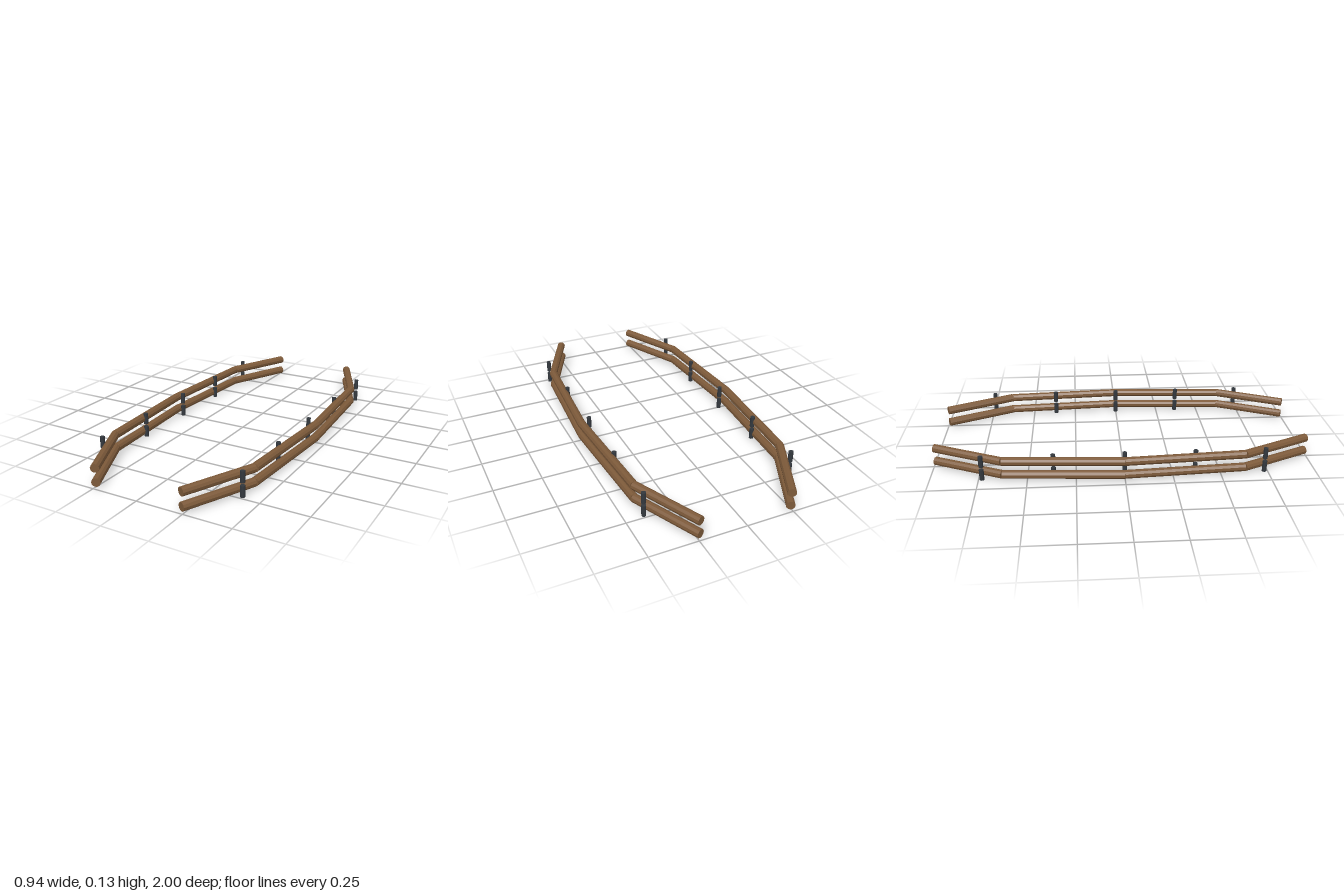
import * as THREE from 'three';

const wood = new THREE.MeshStandardMaterial({ color: 0x7d5a3a, flatShading: true });
wood.name = 'brown wood';
const iron = new THREE.MeshStandardMaterial({ color: 0x33383e, flatShading: true });
iron.name = 'dark iron';

const LOG_RADIUS = 0.0228;
const LEVELS = [0.0305, 0.1045];

// A straight log laid between two points
function log(a, b) {
  const dir = b.clone().sub(a);
  const geo = new THREE.CylinderGeometry(LOG_RADIUS, LOG_RADIUS, dir.length(), 10);
  const mesh = new THREE.Mesh(geo, wood);
  mesh.position.copy(a).add(b).multiplyScalar(0.5);
  mesh.quaternion.setFromUnitVectors(new THREE.Vector3(0, 1, 0), dir.normalize());
  mesh.name = 'log';
  return mesh;
}

export function createModel() {
  const model = new THREE.Group();
  model.name = 'logRails';

  // Outline of one rail from back to front, as [x, z]
  const outline = [[0.239, -0.99], [0.407, -0.627], [0.447, 0], [0.407, 0.627], [0.239, 0.99]];

  for (const side of [-1, 1]) {
    const rail = new THREE.Group();
    rail.name = side > 0 ? 'leftRail' : 'rightRail';
    for (const y of LEVELS) {
      const points = outline.map(([x, z]) => new THREE.Vector3(side * x, y, z));
      for (let i = 0; i < points.length - 1; i++) rail.add(log(points[i], points[i + 1]));

      // Upright iron pegs in a straight row
      for (let i = -2; i <= 2; i++) {
        const peg = new THREE.Mesh(new THREE.CylinderGeometry(0.0125, 0.0125, 0.06, 8), iron);
        peg.position.set(side * 0.403, y, i * 0.366);
        peg.name = 'peg';
        rail.add(peg);
      }
    }
    model.add(rail);
  }
  return model;
}
